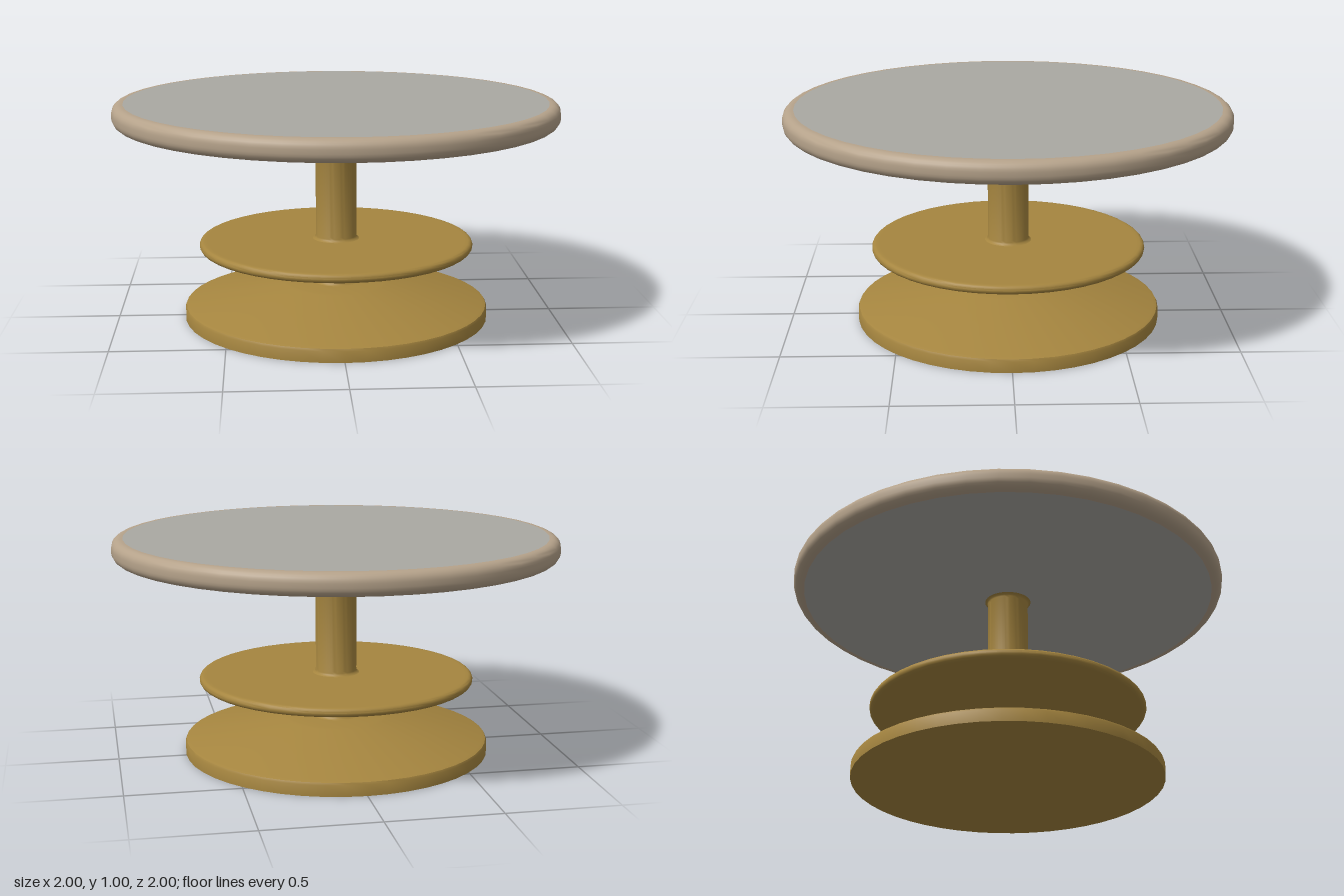
import * as THREE from 'three';
import { toCreasedNormals } from 'three/addons/utils/BufferGeometryUtils.js';

const SEGMENTS = 48;
const gold = new THREE.MeshStandardMaterial({ color: 0xa5853f });
const grey = new THREE.MeshStandardMaterial({ color: 0xaaa8a2 });
const tan = new THREE.MeshStandardMaterial({ color: 0xb5a28a });

// Points of a quarter (or other) arc, angles in degrees
function arc(cx, cy, r, from, to, steps = 5) {
  return Array.from({ length: steps + 1 }, (_, i) => {
    const a = THREE.MathUtils.degToRad(from + ((to - from) * i) / steps);
    return [cx + r * Math.cos(a), cy + r * Math.sin(a)];
  });
}

// Turned part from a profile running bottom to top
function turned(name, profile, material) {
  const points = profile.map(([x, y]) => new THREE.Vector2(x, y));
  const geometry = toCreasedNormals(new THREE.LatheGeometry(points, SEGMENTS), 0.6);
  const mesh = new THREE.Mesh(geometry, material);
  mesh.name = name;
  return mesh;
}

// Column with a small flare where it meets the discs
function column(name, bottom, top) {
  const r = 0.093, f = 0.022;
  return turned(name, [
    ...arc(r + f, bottom + f, f, 270, 180),
    ...arc(r + f, top - f, f, 180, 90),
  ], gold);
}

export function createModel() {
  const model = new THREE.Group();

  // Sloped foot on a short upright rim
  model.add(turned('base', [
    [0, 0], [0.695, 0], [0.695, 0.05], [0.69, 0.06], [0.675, 0.066],
    [0.24, 0.153], [0.22, 0.157], [0, 0.157],
  ], gold));

  // Central post, below and above the shelf
  model.add(column('lowerColumn', 0.155, 0.322));
  model.add(column('upperColumn', 0.358, 0.905));

  // Thin round shelf with a rounded edge
  model.add(turned('shelf', [
    [0, 0.32], [0.59, 0.32],
    ...arc(0.605, 0.34, 0.02, -90, 90, 8),
    [0.59, 0.36], [0, 0.36],
  ], gold));

  // Round table top: flat faces and a rounded rim
  const top = new THREE.Group();
  top.name = 'tableTop';
  top.add(turned('topUnderside', [[0, 0.903], [0.95, 0.903]], grey));
  top.add(turned('topRim', [
    [0.95, 0.903],
    ...arc(0.96, 0.943, 0.04, -90, 0, 6),
    ...arc(0.96, 0.961, 0.04, 0, 90, 6),
    [0.95, 1.001],
  ], tan));
  top.add(turned('topSurface', [[0.95, 1.001], [0, 1.001]], grey));
  model.add(top);

  return model;
}
